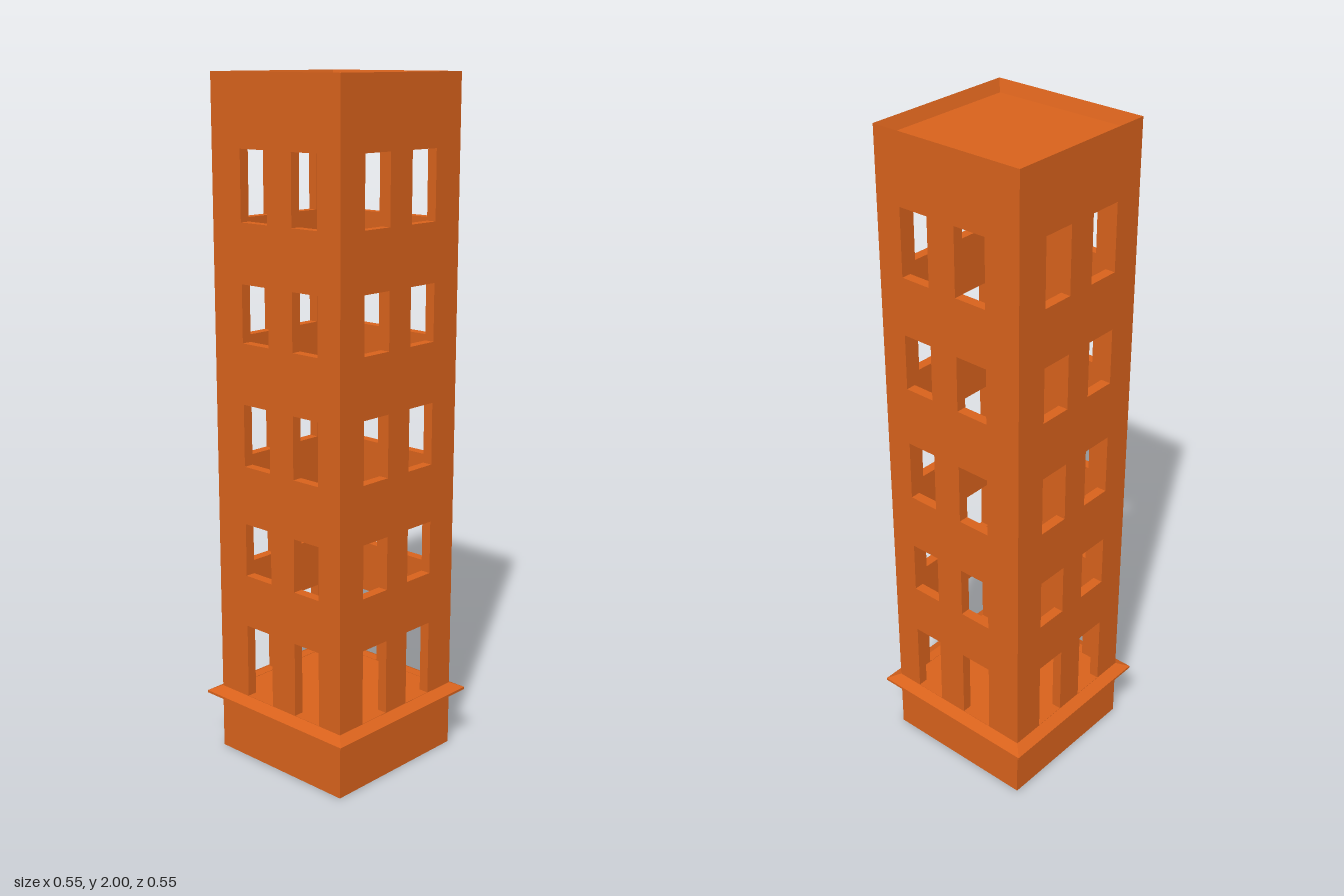
import * as THREE from 'three';

const HALF = 0.242;       // half width of the tower
const WALL = 0.03;        // wall thickness
const FLOOR = 0.196;      // top of the plinth
const CEILING = 1.94;     // underside of the roof
const ROWS = [[0.197, 0.42], [0.576, 0.734], [0.906, 1.088], [1.264, 1.43], [1.6, 1.798]];

const material = new THREE.MeshStandardMaterial({ color: 0xd8621c, flatShading: true });

function rectangle(Type, u0, u1, v0, v1) {
  const r = new Type();
  r.moveTo(u0, v0);
  r.lineTo(u1, v0);
  r.lineTo(u1, v1);
  r.lineTo(u0, v1);
  r.closePath();
  return r;
}

// Flat wall pierced by a grid of window openings
function wallGeometry(halfWidth, columns) {
  const shape = rectangle(THREE.Shape, -halfWidth, halfWidth, FLOOR - 0.006, CEILING);
  for (const [v0, v1] of ROWS) {
    for (const [u0, u1] of columns) shape.holes.push(rectangle(THREE.Path, u0, u1, v0, v1));
  }
  return new THREE.ExtrudeGeometry(shape, { depth: WALL, bevelEnabled: false });
}

// Square solid turned from a half-width / height profile
function squareLathe(profile) {
  const points = profile.map(([r, y]) => new THREE.Vector2(r * Math.SQRT2, y));
  return new THREE.LatheGeometry(points, 4, Math.PI / 4);
}

export function createModel() {
  const group = new THREE.Group();
  const add = (name, geometry) => {
    const mesh = new THREE.Mesh(geometry, material);
    mesh.name = name;
    group.add(mesh);
  };

  // Plinth with a thin sloping ledge around it
  add('plinthAndLedge', squareLathe([
    [0, 0], [HALF, 0], [HALF, 0.173], [0.275, 0.173], [0.275, 0.18], [HALF, FLOOR], [0, FLOOR],
  ]));

  // Hollow shaft: front and back walls run full width, side walls fit between
  const frontColumns = [[-0.148, -0.048], [0.04, 0.14]];
  const sideColumns = [[-0.13, -0.027], [0.065, 0.16]];
  add('frontWall', wallGeometry(HALF, frontColumns).translate(0, 0, HALF - WALL));
  add('backWall', wallGeometry(HALF, frontColumns).translate(0, 0, -HALF));
  const side = wallGeometry(HALF - WALL, sideColumns).rotateY(-Math.PI / 2);
  add('leftWall', side.clone().translate(HALF, 0, 0));
  add('rightWall', side.translate(WALL - HALF, 0, 0));

  // Roof slab with a sharp-edged parapet
  add('roofAndParapet', squareLathe([
    [0, CEILING], [HALF, CEILING], [HALF, 2], [0.228, 1.965], [0, 1.965],
  ]));

  return group;
}
